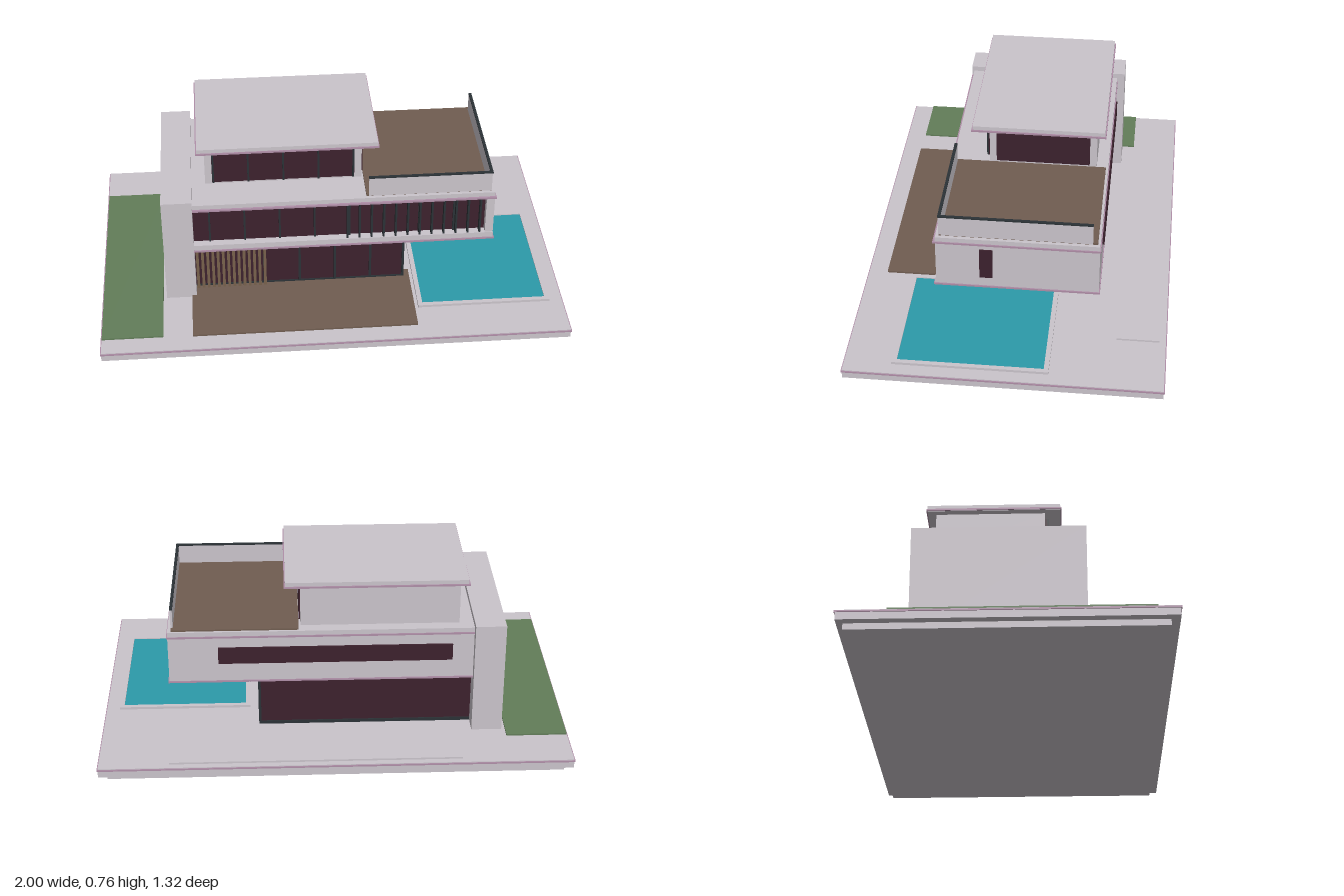
import * as THREE from 'three';

const material = (name, color) => {
  const m = new THREE.MeshStandardMaterial({ color });
  m.name = name;
  return m;
};

export function createModel() {
  const house = new THREE.Group();
  house.name = 'modernHouse';
  const wall = material('paleConcrete', 0xcac4cb);
  const trim = material('mauveTrim', 0xb08fa8);
  const glass = material('darkGlass', 0x3c212d);
  const frame = material('darkMetal', 0x2b3236);
  const deck = material('deckBoards', 0x705d51);
  const wood = material('woodSlats', 0x78614c);
  const grass = material('grass', 0x627d59);
  const water = material('poolWater', 0x2c9aaa);

  // Box given by its limits on each axis
  const box = (name, mat, x0, x1, y0, y1, z0, z1, parent = house) => {
    const mesh = new THREE.Mesh(new THREE.BoxGeometry(x1 - x0, y1 - y0, z1 - z0), mat);
    mesh.position.set((x0 + x1) / 2, (y0 + y1) / 2, (z0 + z1) / 2);
    mesh.name = name;
    parent.add(mesh);
    return mesh;
  };
  const group = (name) => {
    const g = new THREE.Group();
    g.name = name;
    house.add(g);
    return g;
  };

  // Stepped site base
  const site = group('site');
  box('lowerBase', wall, -0.96, 0.96, 0, 0.026, -0.63, 0.62, site);
  box('upperBase', wall, -0.996, 0.996, 0.026, 0.066, -0.656, 0.656, site);
  box('baseTrim', trim, -1, 1, 0.056, 0.063, -0.66, 0.66, site);
  box('lawn', grass, -0.995, -0.735, 0.066, 0.073, -0.46, 0.57, site);
  box('frontDeck', deck, -0.61, 0.35, 0.066, 0.074, 0.2, 0.575, site);
  box('backPath', wall, -0.53, 0.7, 0.066, 0.074, -0.63, -0.45, site);

  // Pool with a raised rim
  const pool = group('pool');
  box('poolWater', water, 0.385, 0.92, 0.066, 0.073, -0.165, 0.44, pool);
  for (const [x0, x1] of [[0.365, 0.385], [0.92, 0.94]])
    box('poolRimSide', wall, x0, x1, 0.066, 0.077, -0.185, 0.46, pool);
  for (const [z0, z1] of [[-0.185, -0.165], [0.44, 0.46]])
    box('poolRimEnd', wall, 0.385, 0.92, 0.066, 0.077, z0, z1, pool);

  // Solid tower at the side
  box('sideTower', wall, -0.72, -0.59, 0.066, 0.57, -0.405, 0.31);

  // Glazed ground floor
  const ground = group('groundFloor');
  box('groundGlass', glass, -0.59, 0.32, 0.066, 0.306, -0.32, 0.24, ground);
  box('groundSill', frame, -0.59, 0.325, 0.066, 0.08, -0.325, 0.245, ground);
  box('groundHead', frame, -0.59, 0.325, 0.298, 0.306, -0.325, 0.245, ground);
  for (const x of [-0.29, -0.135, 0.02, 0.175, 0.32])
    box('groundMullion', frame, x - 0.005, x + 0.005, 0.08, 0.298, 0.235, 0.247, ground);
  for (const z of [-0.32, -0.18, -0.04, 0.1])
    box('groundSideMullion', frame, 0.315, 0.326, 0.08, 0.298, z - 0.004, z + 0.004, ground);
  for (let i = 0; i < 14; i++) {
    const x = -0.58 + i * 0.0225;
    box('woodSlat', wood, x - 0.006, x + 0.006, 0.074, 0.306, 0.244, 0.262, ground);
  }

  // Overhanging middle floor
  const middle = group('middleFloor');
  box('middleFloorSlab', wall, -0.59, 0.7, 0.306, 0.34, -0.37, 0.305, middle);
  box('middleFloorTrim', trim, -0.592, 0.705, 0.308, 0.316, -0.374, 0.31, middle);
  box('middleRoofSlab', wall, -0.59, 0.7, 0.518, 0.548, -0.37, 0.3, middle);
  box('middleRoofTrim', trim, -0.592, 0.705, 0.52, 0.528, -0.374, 0.31, middle);
  box('middleSideWall', wall, 0.665, 0.7, 0.34, 0.518, -0.37, 0.3, middle);
  box('middleBackWall', wall, -0.59, 0.665, 0.34, 0.518, -0.37, -0.34, middle);
  box('middleGlass', glass, -0.59, 0.665, 0.34, 0.518, -0.34, 0.27, middle);
  box('sideWindow', glass, 0.7, 0.706, 0.36, 0.5, 0.066, 0.12, middle);
  box('backWindow', glass, -0.5, 0.49, 0.4, 0.475, -0.378, -0.37, middle);
  for (let i = 0; i < 8; i++) {
    const x = -0.52 + i * 0.15;
    box('middleMullion', frame, x - 0.004, x + 0.004, 0.34, 0.518, 0.268, 0.278, middle);
  }
  for (let i = 0; i < 12; i++) {
    const x = 0.07 + i * 0.052;
    box('shadeFin', frame, x - 0.004, x + 0.004, 0.34, 0.518, 0.276, 0.3, middle);
  }

  // Roof terrace with parapets and dark rails
  const terrace = group('roofTerrace');
  box('terraceDeck', deck, 0.15, 0.685, 0.546, 0.555, -0.36, 0.285, terrace);
  box('frontParapet', wall, 0.16, 0.685, 0.55, 0.639, 0.278, 0.287, terrace);
  box('sideParapet', wall, 0.677, 0.686, 0.55, 0.639, -0.34, 0.278, terrace);
  box('frontRail', frame, 0.16, 0.688, 0.639, 0.645, 0.277, 0.289, terrace);
  box('sideRail', frame, 0.676, 0.688, 0.639, 0.645, -0.34, 0.277, terrace);

  // Penthouse with flat overhanging roof
  const penthouse = group('penthouse');
  box('penthouseWalls', wall, -0.53, 0.142, 0.548, 0.74, -0.32, 0.14, penthouse);
  box('penthouseFrontGlass', glass, -0.5, 0.11, 0.56, 0.728, 0.14, 0.149, penthouse);
  box('penthouseSideGlass', glass, 0.142, 0.149, 0.56, 0.728, -0.29, 0.11, penthouse);
  for (let i = 0; i < 5; i++) {
    const x = -0.495 + i * 0.15;
    box('penthouseMullion', frame, x - 0.004, x + 0.004, 0.56, 0.728, 0.145, 0.156, penthouse);
  }
  box('penthouseRoof', wall, -0.56, 0.205, 0.738, 0.765, -0.355, 0.205, penthouse);
  box('penthouseRoofTrim', trim, -0.565, 0.21, 0.74, 0.748, -0.36, 0.21, penthouse);

  return house;
}
